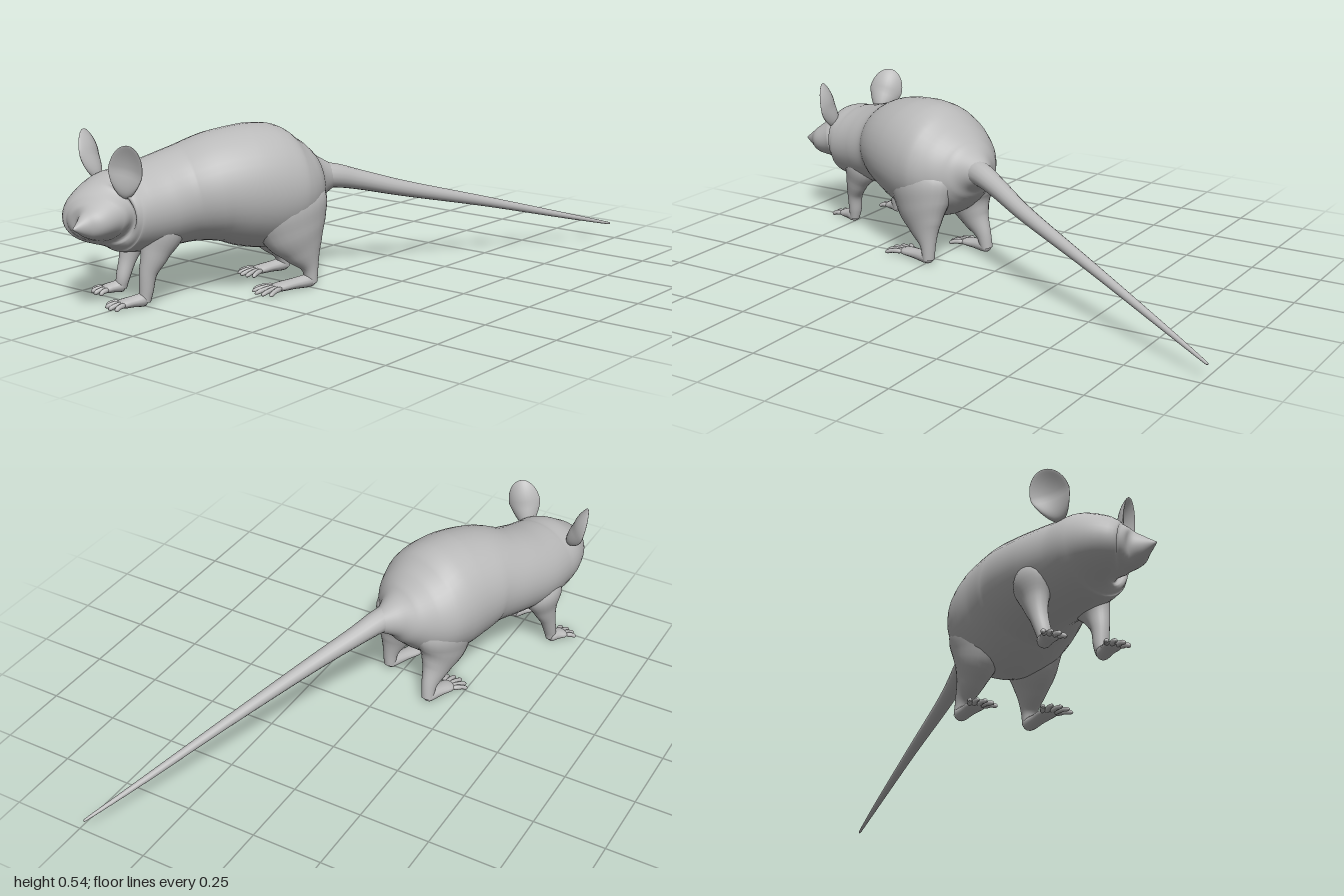
import * as THREE from 'three';

const grey = new THREE.MeshStandardMaterial({ color: 0xbababa });
grey.name = 'plain grey';

// Sideways direction of the animal, which stands turned in plan
const SIDE = new THREE.Vector3(0.94, 0, 0.33).normalize();

// Smooth closed skin over sections [x, y, z, halfWidth, halfHeight]
function loft(name, sections, sides = 20, steps = 6) {
  const path = new THREE.CatmullRomCurve3(
    sections.map(s => new THREE.Vector3(s[0], s[1], s[2])), false, 'catmullrom', 0.5);
  const sizes = new THREE.CatmullRomCurve3(
    sections.map(s => new THREE.Vector3(s[3], s[4] ?? s[3], 0)), false, 'catmullrom', 0.5);
  const rows = (sections.length - 1) * steps;
  const positions = [], index = [];
  for (let i = 0; i <= rows; i++) {
    const t = i / rows;
    const c = path.getPoint(t), size = sizes.getPoint(t), dir = path.getTangent(t);
    const s = SIDE.clone().addScaledVector(dir, -SIDE.dot(dir)).normalize();
    const u = dir.clone().cross(s);
    const w = Math.max(size.x, 0.0005), h = Math.max(size.y, 0.0005);
    for (let j = 0; j < sides; j++) {
      const a = j / sides * Math.PI * 2;
      const p = c.clone().addScaledVector(s, Math.cos(a) * w).addScaledVector(u, Math.sin(a) * h);
      positions.push(p.x, Math.max(p.y, 0), p.z);
      if (i < rows) {
        const k = i * sides + j, n = i * sides + (j + 1) % sides;
        index.push(k, n, k + sides, n, n + sides, k + sides);
      }
    }
  }
  const geometry = new THREE.BufferGeometry();
  geometry.setAttribute('position', new THREE.Float32BufferAttribute(positions, 3));
  geometry.setIndex(index);
  geometry.computeVertexNormals();
  const mesh = new THREE.Mesh(geometry, grey);
  mesh.name = name;
  return mesh;
}

// Thin cupped oval from base to tip, opening towards "facing"
function ear(name, base, tip, facing, halfWidth) {
  const b = new THREE.Vector3(...base), t = new THREE.Vector3(...tip);
  const up = t.clone().sub(b), halfHeight = up.length() / 2;
  up.normalize();
  const n = new THREE.Vector3(...facing);
  n.addScaledVector(up, -n.dot(up)).normalize();
  const w = up.clone().cross(n);
  const geometry = new THREE.SphereGeometry(1, 28, 20);
  const pos = geometry.attributes.position;
  for (let i = 0; i < pos.count; i++) {
    const x = pos.getX(i), y = pos.getY(i), z = pos.getZ(i);
    const taper = 1 - 0.3 * Math.max(0, -y);
    const thick = y < 0 ? 0.009 - y * 0.02 : 0.009;
    pos.setXYZ(i, x * halfWidth * taper, y * halfHeight,
      z * thick + 0.025 * (x * x + Math.max(0, y) * y) - 0.01);
  }
  geometry.computeVertexNormals();
  geometry.applyMatrix4(new THREE.Matrix4().makeBasis(w, up, n)
    .setPosition(b.add(t).multiplyScalar(0.5)));
  const mesh = new THREE.Mesh(geometry, grey);
  mesh.name = name;
  return mesh;
}

// Limb, flat foot and splayed toes; the foot runs from heel to toe [x, z]
function leg(name, limb, heel, toe, footWidth, toeCount) {
  const group = new THREE.Group();
  group.name = name;
  group.add(loft('limb', limb, 24));
  const dx = toe[0] - heel[0], dz = toe[1] - heel[1];
  const at = (f, y, w, h) => [heel[0] + dx * f, y, heel[1] + dz * f, w, h];
  group.add(loft('foot', [
    at(-0.08, 0.022, 0.001, 0.001), at(0.0, 0.022, footWidth * 0.75, 0.021),
    at(0.3, 0.019, footWidth * 0.85, 0.018), at(0.6, 0.015, footWidth, 0.013),
    at(0.72, 0.012, 0.001, 0.001)], 14, 4));
  const len = Math.hypot(dx, dz), angle = Math.atan2(dx, dz);
  for (let i = 0; i < toeCount; i++) {
    const f = i / (toeCount - 1) * 2 - 1;
    const a = angle + f * 0.5;
    const reach = Math.max(0.045, len * 0.4) * (1 - 0.2 * f * f);
    const x = heel[0] + dx * 0.58 + SIDE.x * f * footWidth * 0.75;
    const z = heel[1] + dz * 0.58 + SIDE.z * f * footWidth * 0.75;
    const sec = (d, y, r) => [x + Math.sin(a) * d * reach, y, z + Math.cos(a) * d * reach, r];
    group.add(loft('toe', [sec(-0.1, 0.014, 0.002), sec(0.2, 0.016, 0.009),
      sec(0.6, 0.014, 0.008), sec(0.88, 0.008, 0.007), sec(1, 0.005, 0.001)], 8, 3));
  }
  return group;
}

export function createModel() {
  const model = new THREE.Group();
  model.name = 'mouse';

  // Rump, back, neck, head and pointed nose in one skin
  model.add(loft('body', [
    [-0.005, 0.338, 0.045, 0.03, 0.034],
    [-0.03, 0.338, 0.095, 0.07, 0.068],
    [-0.046, 0.335, 0.13, 0.115, 0.105],
    [-0.062, 0.332, 0.175, 0.16, 0.147],
    [-0.08, 0.33, 0.23, 0.19, 0.183],
    [-0.10, 0.334, 0.295, 0.199, 0.205],
    [-0.13, 0.343, 0.375, 0.197, 0.202],
    [-0.172, 0.346, 0.46, 0.188, 0.182],
    [-0.226, 0.33, 0.55, 0.168, 0.159],
    [-0.26, 0.312, 0.65, 0.165, 0.147],
    [-0.28, 0.304, 0.74, 0.156, 0.138],
    [-0.29, 0.307, 0.80, 0.147, 0.127],
    [-0.288, 0.303, 0.85, 0.128, 0.102],
    [-0.266, 0.297, 0.89, 0.10, 0.073],
    [-0.252, 0.292, 0.922, 0.065, 0.054],
    [-0.25, 0.289, 0.955, 0.03, 0.034],
    [-0.25, 0.287, 1.0, 0.001, 0.001]], 40));

  // Long tapering tail
  model.add(loft('tail', [
    [-0.03, 0.345, 0.11, 0.046], [0.0, 0.338, 0.045, 0.041], [0.04, 0.315, -0.04, 0.034],
    [0.12, 0.268, -0.2, 0.027], [0.25, 0.19, -0.5, 0.018], [0.38, 0.107, -0.8, 0.011],
    [0.465, 0.055, -0.99, 0.005], [0.47, 0.052, -1.0, 0.001]], 16));

  // Ears
  model.add(ear('rightEar', [-0.405, 0.385, 0.765], [-0.452, 0.546, 0.742], [-0.94, 0, 0.4], 0.062));
  model.add(ear('leftEar', [-0.2, 0.36, 0.835], [-0.16, 0.535, 0.835], [0.38, 0.1, 0.92], 0.058));

  // Front legs
  model.add(leg('leftFrontLeg', [
    [-0.22, 0.34, 0.67, 0.02, 0.02], [-0.19, 0.25, 0.69, 0.06, 0.08],
    [-0.187, 0.17, 0.72, 0.038, 0.05], [-0.198, 0.11, 0.74, 0.028, 0.03],
    [-0.204, 0.05, 0.745, 0.024, 0.023], [-0.205, 0.015, 0.75, 0.018, 0.018]],
    [-0.207, 0.75], [-0.265, 0.865], 0.028, 4));
  model.add(leg('rightFrontLeg', [
    [-0.34, 0.34, 0.62, 0.02, 0.02], [-0.362, 0.25, 0.625, 0.06, 0.08],
    [-0.374, 0.17, 0.637, 0.038, 0.05], [-0.381, 0.11, 0.655, 0.028, 0.03],
    [-0.385, 0.05, 0.675, 0.024, 0.023], [-0.388, 0.015, 0.68, 0.018, 0.018]],
    [-0.388, 0.675], [-0.435, 0.762], 0.028, 4));

  // Hind legs with heavy thighs
  model.add(leg('leftHindLeg', [
    [-0.05, 0.42, 0.30, 0.02, 0.02], [-0.008, 0.30, 0.30, 0.092, 0.14],
    [0.018, 0.2, 0.285, 0.076, 0.12], [0.037, 0.13, 0.265, 0.048, 0.075],
    [0.05, 0.07, 0.245, 0.028, 0.032], [0.053, 0.015, 0.24, 0.022, 0.02]],
    [0.052, 0.24], [-0.02, 0.445], 0.03, 5));
  model.add(leg('rightHindLeg', [
    [-0.13, 0.42, 0.23, 0.02, 0.02], [-0.168, 0.30, 0.225, 0.085, 0.12],
    [-0.172, 0.2, 0.215, 0.073, 0.105], [-0.166, 0.13, 0.185, 0.048, 0.063],
    [-0.16, 0.07, 0.147, 0.028, 0.032], [-0.16, 0.015, 0.13, 0.022, 0.02]],
    [-0.16, 0.13], [-0.215, 0.30], 0.03, 5));

  return model;
}
